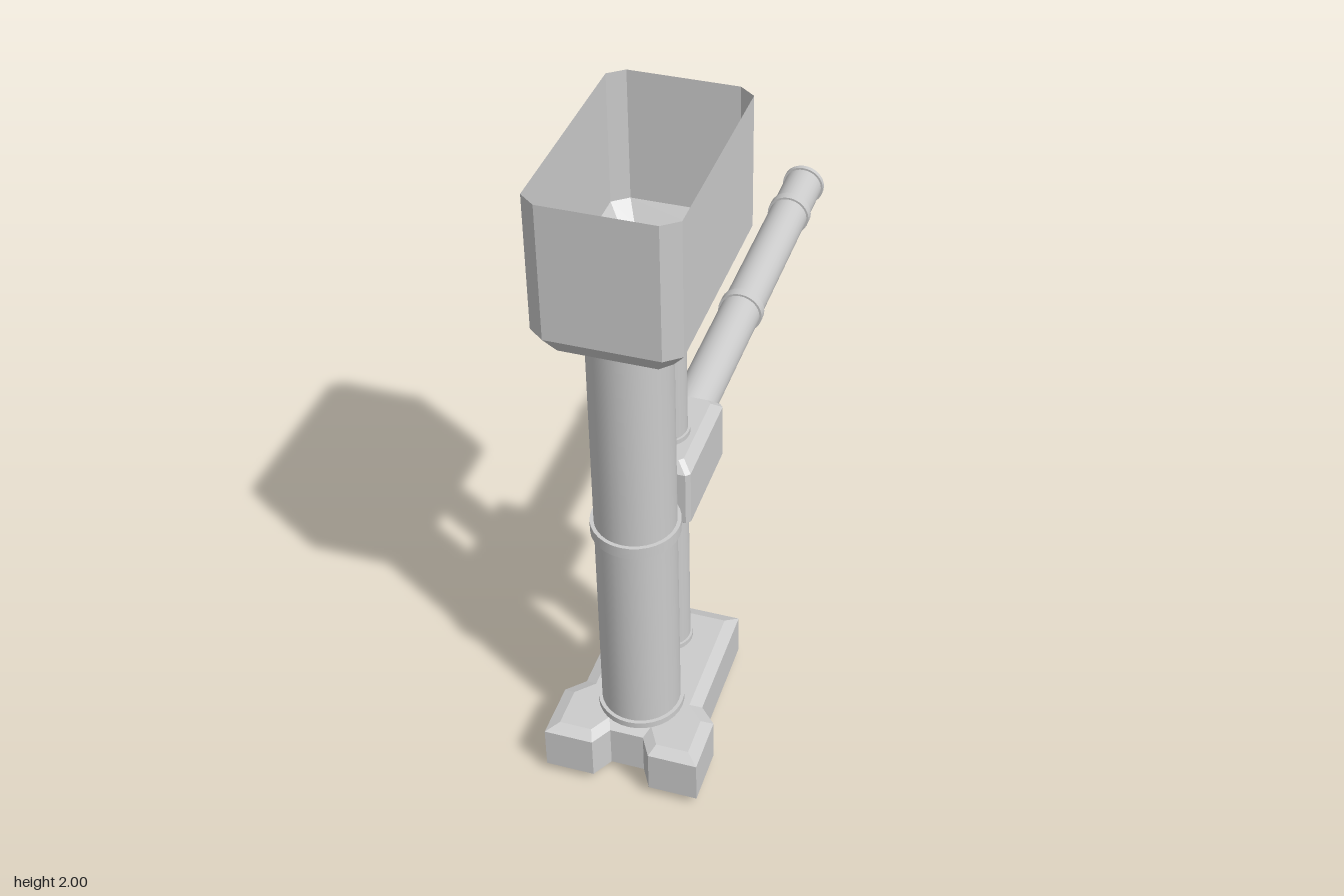
import * as THREE from 'three';

const smooth = new THREE.MeshStandardMaterial({ color: 0xcccccc, side: THREE.DoubleSide });
const flat = new THREE.MeshStandardMaterial({ color: 0xcccccc, side: THREE.DoubleSide, flatShading: true });

// Stacks [x, z] outlines (counter-clockwise from above) at given heights into a faceted body.
function loft(levels, capTop) {
  const pos = [];
  const n = levels[0].ring.length;
  const push = (level, i) => pos.push(level.ring[i][0], level.y, level.ring[i][1]);
  for (let k = 0; k < levels.length - 1; k++) {
    const a = levels[k], b = levels[k + 1];
    for (let i = 0; i < n; i++) {
      const j = (i + 1) % n;
      push(a, i); push(a, j); push(b, j);
      push(a, i); push(b, j); push(b, i);
    }
  }
  const cap = (level, up) => {
    const pts = level.ring.map(([x, z]) => new THREE.Vector2(x, -z));
    for (const t of THREE.ShapeUtils.triangulateShape(pts, [])) {
      (up ? t : [t[0], t[2], t[1]]).forEach((i) => push(level, i));
    }
  };
  cap(levels[0], false);
  if (capTop) cap(levels[levels.length - 1], true);
  const g = new THREE.BufferGeometry();
  g.setAttribute('position', new THREE.Float32BufferAttribute(pos, 3));
  g.computeVertexNormals();
  return g;
}

// Rectangle with cut corners, inset by d.
function octagon(hx, z0, z1, cx, cz, d = 0) {
  const x = hx - d, a = z0 + d, b = z1 - d;
  return [[x, b - cz], [x, a + cz], [x - cx, a], [-x + cx, a],
    [-x, a + cz], [-x, b - cz], [-x + cx, b], [x - cx, b]];
}

// Footing outline: wide toes at the front with a shallow notch, narrower heel.
function footing(d) {
  const half = [[0.05 + d * 0.4, 0.94 - d], [0.085 + d * 0.4, 1 - d], [0.23 - d, 1 - d],
    [0.23 - d, 0.83 + d * 0.4], [0.18 - d, 0.78 + d * 0.4], [0.18 - d, 0.4 + d]];
  return [...half, ...half.map(([x, z]) => [-x, z]).reverse()];
}

export function createModel() {
  const model = new THREE.Group();
  const add = (name, geometry, material, parent = model) => {
    const mesh = new THREE.Mesh(geometry, material);
    mesh.name = name;
    parent.add(mesh);
    return mesh;
  };

  // Tube standing along y with raised collars at [centre, height].
  const pipe = (name, r, y0, y1, collarR, collars) => {
    const group = new THREE.Group();
    group.name = name;
    add(name + 'Tube', new THREE.CylinderGeometry(r, r, y1 - y0, 32, 1, true), smooth, group)
      .position.y = (y0 + y1) / 2;
    for (const [y, h] of collars) {
      const profile = [[r, -h / 2], [collarR, -h / 2], [collarR, -h / 2], [collarR, h / 2], [collarR, h / 2], [r, h / 2]]
        .map(([x, v]) => new THREE.Vector2(x, v));
      // separate walls keep the collar edges sharp
      for (let i = 0; i < 6; i += 2) {
        add(name + 'Collar', new THREE.LatheGeometry(profile.slice(i, i + 2), 32), smooth, group).position.y = y;
      }
    }
    model.add(group);
    return group;
  };

  // Base
  add('base', loft([
    { y: 0, ring: footing(0.035) }, { y: 0.03, ring: footing(0) },
    { y: 0.165, ring: footing(0) }, { y: 0.18, ring: footing(0.035) },
  ], true), flat);

  // Open hopper with a bevelled floor
  const rim = octagon(0.2, 0.33, 1, 0.045, 0.035);
  add('hopper', loft([
    { y: 1.55, ring: octagon(0.2, 0.33, 1, 0.03, 0.03, 0.038) },
    { y: 1.605, ring: rim }, { y: 2, ring: rim },
  ], false), flat);

  // Upright columns
  pipe('mainColumn', 0.115, 0.17, 1.555, 0.126, [[0.19, 0.02], [0.868, 0.036], [1.54, 0.02]])
    .position.z = 0.8;
  pipe('rearColumn', 0.064, 0.17, 1.555, 0.071, [[0.188, 0.016], [0.748, 0.016], [0.992, 0.016], [1.542, 0.016]])
    .position.z = 0.535;

  // Junction box
  const box = (d) => octagon(0.115, 0.345, 0.675, 0.012, 0.012, d);
  add('junctionBox', loft([
    { y: 0.755, ring: box(0.028) }, { y: 0.783, ring: box(0) },
    { y: 0.957, ring: box(0) }, { y: 0.985, ring: box(0.028) },
  ], true), flat);

  // Outlet pipe running to the back, open at its end
  const outlet = pipe('outletPipe', 0.064, -0.36, 1, 0.071,
    [[-0.337, 0.016], [0.228, 0.032], [0.805, 0.032], [0.992, 0.016]]);
  outlet.rotation.x = -Math.PI / 2;
  outlet.position.y = 0.868;

  return model;
}
